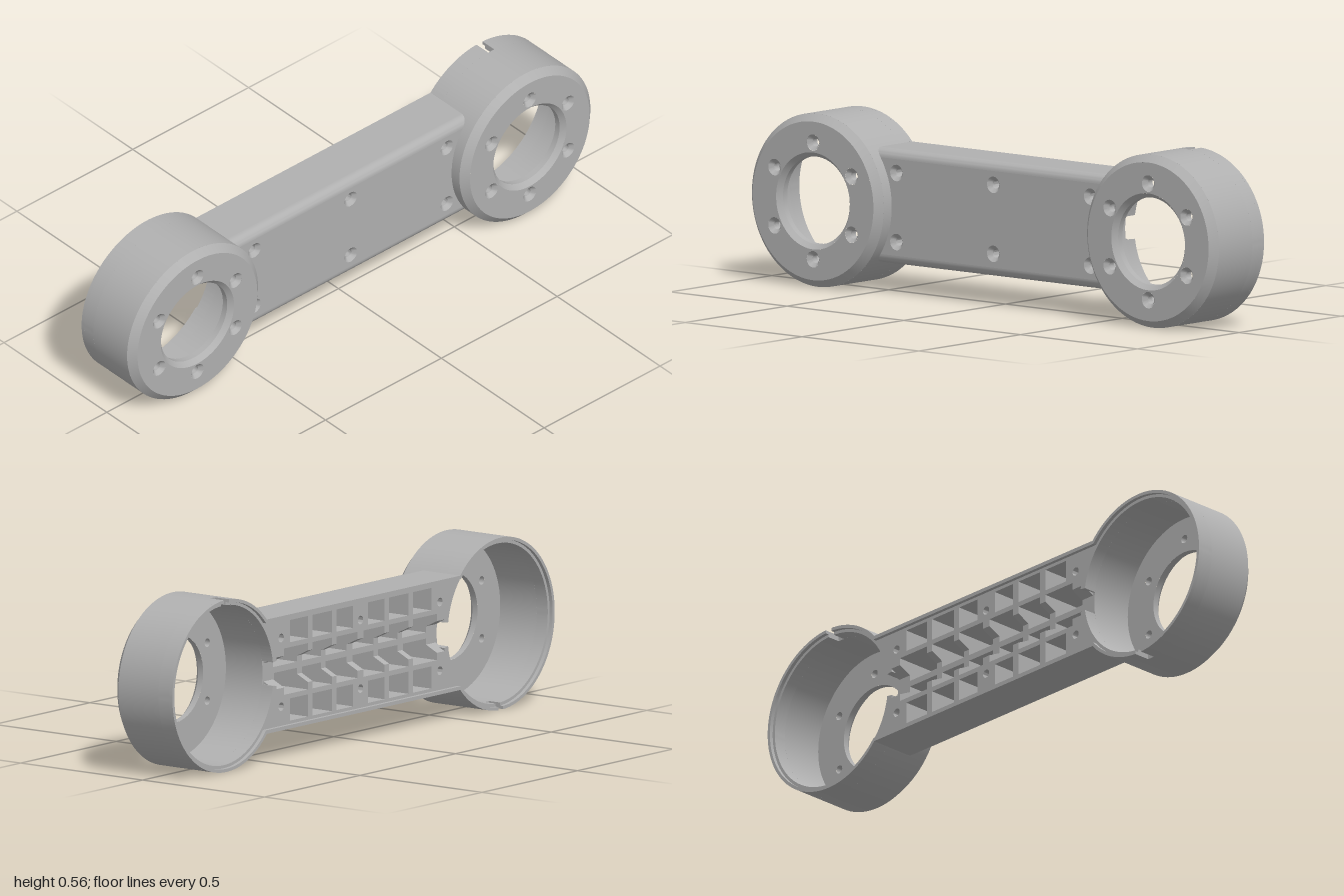
import * as THREE from 'three';
import { toCreasedNormals } from 'three/addons/utils/BufferGeometryUtils.js';

const CX = 0.7175, CY = 0.2825;           // hub centre offset, axis height
const R_OUT = 0.2825, R_LIP = 0.272, R_IN = 0.262, R_BORE = 0.143;
const FRONT = 0.1225, BACK = -0.1225, SEAT = -0.11, CHANNEL = -0.065;
const HUB_FLOOR = 0.085, BEAM_FRONT = 0.06, BEAM_FLOOR = 0.03;
const BEAM_H = 0.1875, ROUND = 0.03, RIM = 0.012;
const SCREW = 0.014, SINK = 0.027;

const grey = new THREE.MeshStandardMaterial({ color: 0xb0b0b0 });
grey.name = 'grey';

function add(parent, name, geometry) {
  const mesh = new THREE.Mesh(toCreasedNormals(geometry, 0.5), grey);
  mesh.name = name;
  parent.add(mesh);
  return mesh;
}

// Flat shape given thickness from z0 to z1
const slab = (shape, z0, z1) =>
  new THREE.ExtrudeGeometry(shape, { depth: z1 - z0, bevelEnabled: false, curveSegments: 48 }).translate(0, 0, z0);

// Profile of (radius, z) turned about the z axis
const turn = (pts, sides = 72) =>
  new THREE.LatheGeometry(pts.map(p => new THREE.Vector2(...p)), sides).rotateX(Math.PI / 2);

const circle = (x, y, r, Kind = THREE.Path) => new Kind().absarc(x, y, r, 0, Math.PI * 2, false);

function ring(rIn, rOut) {
  const s = circle(0, 0, rOut, THREE.Shape);
  s.holes.push(circle(0, 0, rIn));
  return s;
}

function sector(rIn, rOut, a0, a1) {
  const s = new THREE.Shape();
  s.absarc(0, 0, rOut, a0, a1, false);
  s.absarc(0, 0, rIn, a1, a0, true);
  s.closePath();
  return s;
}

function rect(x0, x1, y0, y1) {
  return new THREE.Path([[x0, y0], [x1, y0], [x1, y1], [x0, y1]].map(p => new THREE.Vector2(...p)));
}

// Beam end follows the round hub wall
const endX = y => CX - Math.sqrt(R_LIP * R_LIP - y * y);

function beamOutline(y0, y1, holes = []) {
  const pts = [], n = 20;
  for (let i = 0; i <= n; i++) {
    const y = y0 + (y1 - y0) * i / n;
    pts.push(new THREE.Vector2(endX(y), y));
  }
  for (let i = n; i >= 0; i--) pts.push(new THREE.Vector2(-pts[i].x, pts[i].y));
  const s = new THREE.Shape(pts);
  s.holes.push(...holes);
  return s;
}

function makeHub() {
  const hub = new THREE.Group();
  const bolts = [];
  for (let i = 0; i < 6; i++) {
    const a = Math.PI / 6 + i * Math.PI / 3;
    bolts.push([0.19 * Math.cos(a), 0.19 * Math.sin(a)]);
  }

  // Face plate with chamfered rim and bore
  const face = ring(0.158, R_OUT - 0.024);
  const floor = ring(R_BORE, R_IN + 0.005);
  for (const [x, y] of bolts) {
    face.holes.push(circle(x, y, SINK));
    floor.holes.push(circle(x, y, SCREW));
  }
  add(hub, 'hubFace', new THREE.ShapeGeometry(face, 48).translate(0, 0, FRONT));
  const back = new THREE.ShapeGeometry(floor, 48).translate(0, 0, HUB_FLOOR);
  const index = back.index.array;
  for (let i = 0; i < index.length; i += 3) [index[i], index[i + 1]] = [index[i + 1], index[i]];
  add(hub, 'hubFloor', back);
  add(hub, 'hubChamfer', turn([[R_OUT, 0.0985], [R_OUT - 0.024, FRONT]]));
  add(hub, 'hubBore', turn([[0.158, FRONT], [R_BORE, 0.106], [R_BORE, HUB_FLOOR]]));
  for (const [x, y] of bolts)
    add(hub, 'boltHole', turn([[SINK, FRONT], [SCREW, 0.109], [SCREW, HUB_FLOOR]], 24)).position.set(x, y, 0);

  // Cup wall: closed ring, then arcs leaving the notch and the cable channel open
  const PI = Math.PI, notch = 0.046;
  add(hub, 'hubWall', slab(ring(R_IN, R_OUT), CHANNEL, 0.0985));
  for (const [rIn, gap, z0, z1, name] of [
    [R_IN, 0.148, SEAT, CHANNEL, 'hubWallArc'],
    [R_LIP, 0.727, BACK, SEAT, 'hubLip'],
  ]) {
    add(hub, name, slab(sector(rIn, R_OUT, PI / 2 + notch, PI - gap), z0, z1));
    add(hub, name, slab(sector(rIn, R_OUT, PI + gap, PI * 2.5 - notch), z0, z1));
  }
  return hub;
}

function makeBeam() {
  const beam = new THREE.Group();
  const inner = BEAM_H - RIM, flat = BEAM_H - ROUND;
  const screws = [];
  for (const x of [-0.415, 0, 0.415]) for (const y of [-0.1125, 0.1125]) screws.push([x, y]);
  const screwHoles = (r, test = () => true) => screws.filter(s => test(s[1])).map(([x, y]) => circle(x, y, r));

  // Front skin, floor behind it and countersunk holes
  add(beam, 'beamFace', new THREE.ShapeGeometry(beamOutline(-flat, flat, screwHoles(SINK)), 24).translate(0, 0, BEAM_FRONT));
  add(beam, 'beamFloor', slab(beamOutline(-inner, inner, screwHoles(SCREW)), BEAM_FLOOR, 0.045));
  for (const [x, y] of screws)
    add(beam, 'screwHole', turn([[SINK, BEAM_FRONT], [SCREW, 0.047], [SCREW, 0.04]], 24)).position.set(x, y, 0);

  // Side walls and rounded front edges
  for (const turnAngle of [0, Math.PI]) {
    const edge = new THREE.PlaneGeometry(2, 1, 1, 10);
    const p = edge.attributes.position;
    for (let i = 0; i < p.count; i++) {
      const a = (0.5 - p.getY(i)) * Math.PI / 2;
      const y = flat + ROUND * Math.cos(a);
      p.setXYZ(i, Math.sign(p.getX(i)) * endX(y), y, BEAM_FLOOR + ROUND * Math.sin(a));
    }
    add(beam, 'beamRoundedEdge', edge).rotation.z = turnAngle;
    add(beam, 'beamSideWall', slab(beamOutline(inner, BEAM_H), BACK, BEAM_FLOOR)).rotation.z = turnAngle;
  }

  // Rib grid with pockets, cut lower along the centre for the cable channel
  const outerRow = [], middleRow = [];
  for (const s of [-1, 1]) for (const [a, b, a2, b2] of [
    [0.04, 0.125, 0.015, 0.125], [0.15, 0.25, 0.15, 0.25], [0.275, 0.37, 0.275, 0.4],
  ]) {
    const span = (u, v) => [Math.min(s * u, s * v), Math.max(s * u, s * v)];
    outerRow.push(span(a, b));
    middleRow.push(span(a2, b2));
  }
  const outer = t => outerRow.map(([a, b]) => t > 0 ? rect(a, b, 0.092, 0.165) : rect(a, b, -0.165, -0.092));
  const middle = t => middleRow.map(([a, b]) => t > 0 ? rect(a, b, 0.01, 0.076) : rect(a, b, -0.076, -0.01));
  add(beam, 'ribGrid', slab(beamOutline(-inner, inner,
    [...outer(1), ...outer(-1), ...middle(1), ...middle(-1), ...screwHoles(SCREW)]), CHANNEL, BEAM_FLOOR));

  for (const t of [-1, 1]) {
    const [y0, y1] = t > 0 ? [0.076, inner] : [-inner, -0.076];
    add(beam, 'ribRail', slab(beamOutline(y0, y1, [...outer(t), ...screwHoles(SCREW, y => y * t > 0)]), SEAT, CHANNEL));
  }

  // Sloped rib shoulders on both sides of the channel
  const shoulder = new THREE.Shape([[0.03, CHANNEL], [0.08, CHANNEL], [0.08, SEAT], [0.052, SEAT]]
    .map(([y, z]) => new THREE.Vector2(-z, y)));
  const ribs = [[-0.45, -0.4], [-0.275, -0.25], [-0.15, -0.125], [-0.015, 0.015], [0.125, 0.15], [0.25, 0.275], [0.4, 0.45]];
  for (const [a, b] of ribs) for (const turnAngle of [0, Math.PI]) {
    const rib = slab(shoulder, a, b).rotateY(Math.PI / 2);
    add(beam, 'ribShoulder', rib).rotation.z = turnAngle;
  }
  return beam;
}

export function createModel() {
  const model = new THREE.Group();
  model.name = 'linkArm';
  const beam = makeBeam();
  beam.name = 'beam';
  beam.position.y = CY;
  model.add(beam);

  // The two hubs are half a turn apart
  for (const side of [1, -1]) {
    const hub = makeHub();
    hub.name = side > 0 ? 'leftHub' : 'rightHub';
    hub.position.set(side * CX, CY, 0);
    hub.rotation.z = side > 0 ? 0 : Math.PI;
    model.add(hub);
  }
  return model;
}
